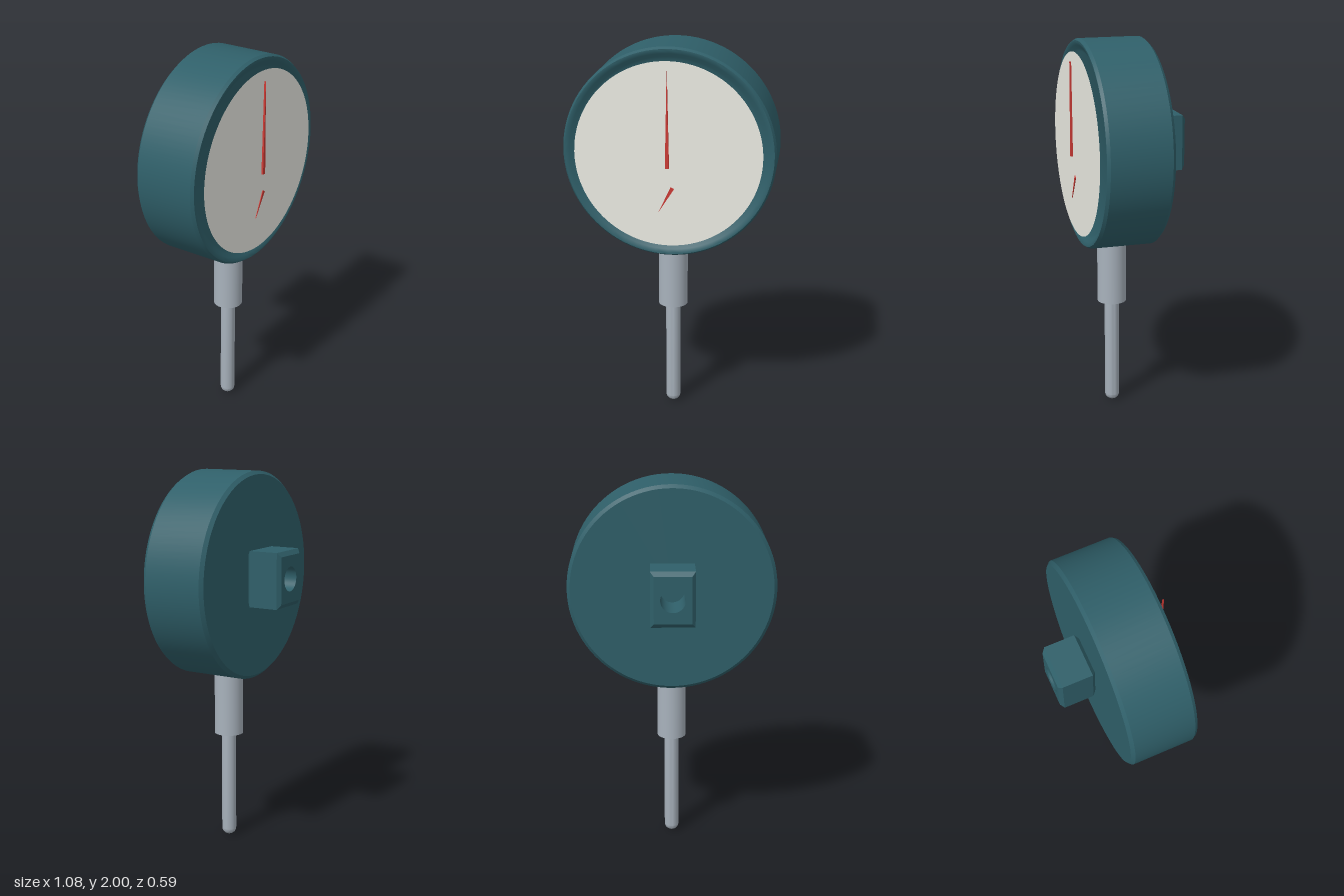
import * as THREE from 'three';
import { toCreasedNormals } from 'three/addons/utils/BufferGeometryUtils.js';

const CENTER_Y = 1.459;
const STEM_Z = 0.077;
const BACK_Z = -0.1;

const material = (color) => new THREE.MeshStandardMaterial({ color });
const teal = material(0x2f5f69);
const steel = material(0xa8b2bc);
const ivory = material(0xecece4);
const red = material(0xcc3a34);
const boreTeal = new THREE.MeshStandardMaterial({ color: 0x2f5f69, side: THREE.DoubleSide });

function addMesh(group, name, geometry, mat, x = 0, y = 0, z = 0) {
  const mesh = new THREE.Mesh(geometry, mat);
  mesh.name = name;
  mesh.position.set(x, y, z);
  group.add(mesh);
  return mesh;
}

// Turned part from [radius, height] pairs, listed bottom to top
function lathe(profile, segments, start = 0) {
  const points = profile.map(([r, h]) => new THREE.Vector2(r, h));
  return toCreasedNormals(new THREE.LatheGeometry(points, segments, start), 0.5);
}

// Flat pointer with its wide end at the origin, tapering upward to a point
function pointer(length, halfWidth, depth) {
  const shape = new THREE.Shape([
    new THREE.Vector2(-halfWidth, 0),
    new THREE.Vector2(halfWidth, 0),
    new THREE.Vector2(0, length),
  ]);
  return new THREE.ExtrudeGeometry(shape, { depth, bevelEnabled: false });
}

// Box with bevelled ends and a bore running front to back
function createLug(halfWidth, halfHeight, depth, bevel, boreRadius) {
  const lug = new THREE.Group();
  lug.name = 'mountingLug';
  const corner = (inset) => Math.SQRT2 * (halfWidth - inset);
  const sides = lathe([
    [0, 0], [corner(bevel), 0], [corner(0), bevel],
    [corner(0), depth - bevel], [corner(bevel), depth],
  ], 4, Math.PI / 4);
  sides.rotateX(-Math.PI / 2);
  sides.scale(1, halfHeight / halfWidth, 1);
  addMesh(lug, 'lugSides', sides, teal);

  const w = halfWidth - bevel;
  const h = halfHeight * w / halfWidth;
  const plate = new THREE.Shape([
    new THREE.Vector2(-w, -h), new THREE.Vector2(w, -h),
    new THREE.Vector2(w, h), new THREE.Vector2(-w, h),
  ]);
  plate.holes.push(new THREE.Path().absarc(0, 0, boreRadius, 0, Math.PI * 2, true));
  const face = new THREE.ShapeGeometry(plate, 24);
  face.rotateY(Math.PI);
  addMesh(lug, 'lugFace', face, teal, 0, 0, -depth);

  const bore = new THREE.CylinderGeometry(boreRadius, boreRadius, depth, 48, 1, true);
  bore.rotateX(Math.PI / 2);
  addMesh(lug, 'lugBore', bore, boreTeal, 0, 0, -depth / 2);
  // Floor of the bore
  const floor = new THREE.CircleGeometry(boreRadius, 48);
  floor.rotateY(Math.PI);
  addMesh(lug, 'lugBoreFloor', floor, teal, 0, 0, -0.003);
  return lug;
}

export function createModel() {
  const group = new THREE.Group();
  group.name = 'dialIndicator';

  // Drum housing with chamfered rims and a bezel sloping inward
  const housing = lathe([
    [0, BACK_Z], [0.524, BACK_Z], [0.541, -0.083], [0.541, 0.23], [0.531, 0.246],
    [0.522, 0.246], [0.507, 0.238], [0.49, 0.228], [0.474, 0.22], [0, 0.22],
  ], 96);
  housing.rotateX(Math.PI / 2);
  addMesh(group, 'housing', housing, teal, 0, CENTER_Y, 0);

  // Dial face, standing just proud of the bezel
  addMesh(group, 'dialFace', new THREE.CircleGeometry(0.476, 96), ivory, 0, CENTER_Y, 0.265);

  // Pointers
  addMesh(group, 'mainPointer', pointer(0.49, 0.01, 0.01), red, 0, 1.4, 0.284);
  const small = addMesh(group, 'smallPointer', pointer(0.148, 0.01, 0.004), red, 0.025, 1.295, 0.275);
  small.rotation.z = Math.PI - Math.atan2(0.069, 0.127);

  // Mounting lug on the back
  const lug = createLug(0.114, 0.145, 0.193, 0.018, 0.064);
  lug.position.set(0, CENTER_Y, BACK_Z);
  group.add(lug);

  // Stem sleeve and round-tipped plunger
  addMesh(group, 'stem', new THREE.CylinderGeometry(0.077, 0.077, 0.39, 40), steel, 0, 0.782, STEM_Z);
  const plunger = [];
  for (let i = 0; i <= 8; i++) {
    const a = (i / 8) * Math.PI / 2;
    plunger.push([0.039 * Math.sin(a), 0.036 * (1 - Math.cos(a))]);
  }
  plunger.push([0.039, 0.62]);
  addMesh(group, 'plunger', lathe(plunger, 32), steel, 0, 0, STEM_Z);

  return group;
}
